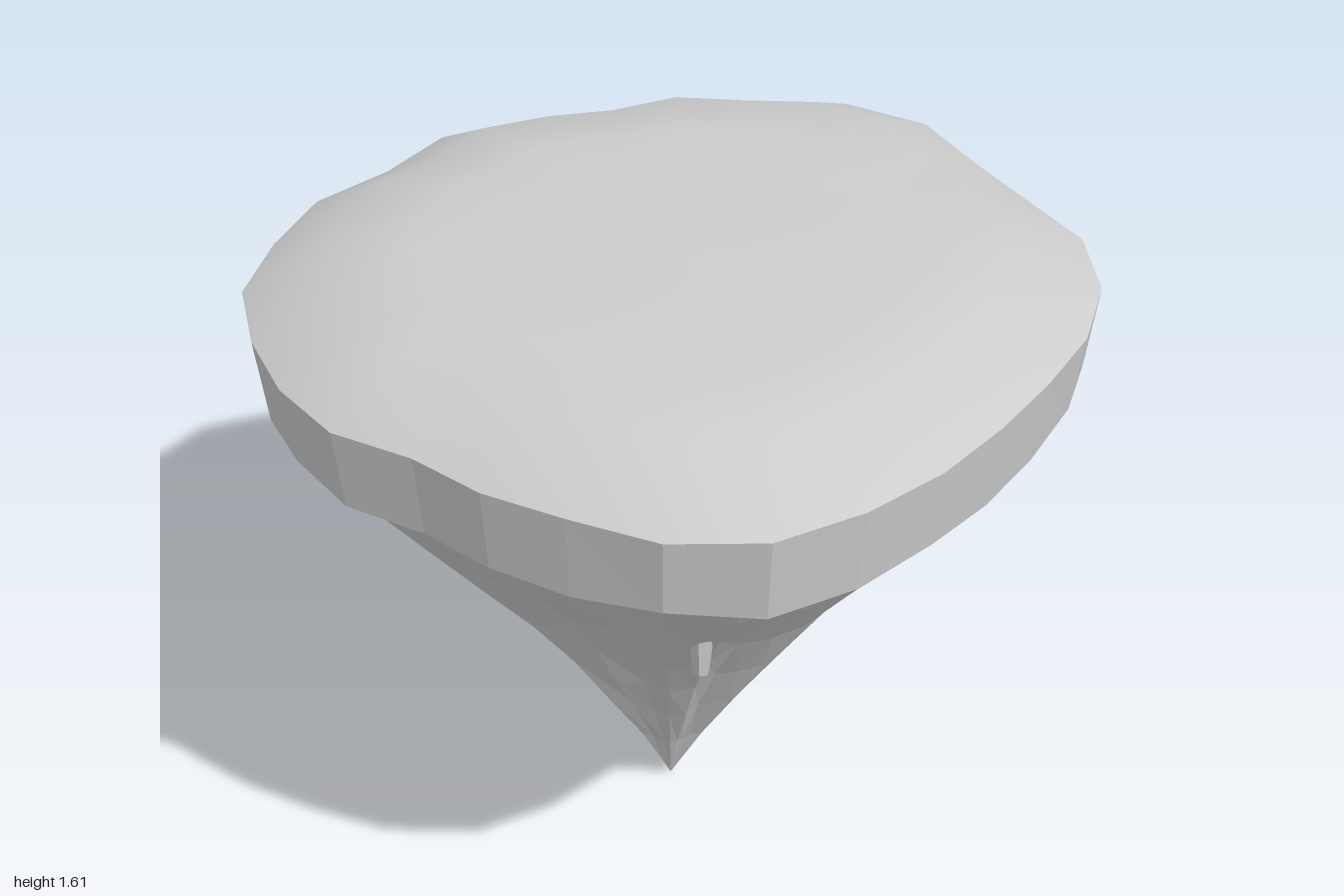
import * as THREE from 'three';

const SIDES = 28;
// Rim radius for each side, clockwise from the back as seen from above
const RIM = [
  0.96, 1.025, 1.037, 0.973, 0.972, 1.024, 1.025,
  0.995, 0.96, 0.955, 0.979, 1.012, 1.05, 1.026,
  0.956, 0.927, 0.899, 0.962, 0.983, 1.0, 1.025,
  1.0, 0.989, 0.93, 0.966, 0.925, 0.894, 0.959,
];
// Height of the edge band's lower border at each side
const LIP = [
  1.26, 1.26, 1.265, 1.275, 1.28, 1.26, 1.27,
  1.285, 1.265, 1.255, 1.26, 1.24, 1.235, 1.25,
  1.225, 1.235, 1.235, 1.24, 1.25, 1.235, 1.275,
  1.275, 1.26, 1.265, 1.255, 1.265, 1.26, 1.265,
];
// Ridges (above 1) and grooves (below 1) running down the rock
const RIDGES = [
  1.0, 0.97, 1.0, 0.96, 1.02, 0.98, 0.93,
  0.94, 1.05, 1.03, 0.97, 0.91, 0.95, 1.0,
  0.97, 1.02, 0.98, 1.03, 0.99, 0.96, 1.0,
  1.02, 0.97, 1.01, 0.96, 1.03, 1.0, 0.96,
];

// Seeded noise in -1..1
let seed = 7919;
function noise() {
  seed = (seed * 48271) % 2147483647;
  return (seed / 2147483647) * 2 - 1;
}

// Ring of points from a radius and a height function of the side number;
// tilt raises the back right
function ring(radius, height, tilt = 0) {
  return RIM.map((rim, k) => {
    const a = (k / SIDES) * Math.PI * 2;
    const r = rim * radius(k);
    const x = Math.sin(a) * r, z = -Math.cos(a) * r;
    return [x, height(k) + tilt * (0.5 * x - z), z];
  });
}

const evenRing = (r, y, tilt) => ring(() => r, () => y, tilt);

// Rock ring: ridges grow stronger toward the tip
const rockRing = (r, y) => ring(
  (k) => r * Math.pow(RIDGES[k], 2.2 - 1.4 * y) * (1 + 0.018 * noise()),
  () => y + 0.008 * noise(),
);

// Skin rings listed from the bottom up (or from the outside in)
function loft(rings, smooth) {
  const index = [];
  for (let j = 0; j < rings.length - 1; j++) {
    for (let k = 0; k < SIDES; k++) {
      const n = (k + 1) % SIDES;
      const a = j * SIDES + k, b = j * SIDES + n;
      const c = a + SIDES, d = b + SIDES;
      index.push(a, c, d, a, d, b);
    }
  }
  let geometry = new THREE.BufferGeometry();
  geometry.setAttribute('position', new THREE.Float32BufferAttribute(rings.flat(2), 3));
  geometry.setIndex(index);
  if (!smooth) geometry = geometry.toNonIndexed();
  geometry.computeVertexNormals();
  return geometry;
}

export function createModel() {
  const group = new THREE.Group();
  group.name = 'floatingIsland';
  const stone = new THREE.MeshStandardMaterial({ color: 0xcccccc });
  stone.name = 'pale grey stone';

  function add(name, geometry, x = 0, y = 0, z = 0) {
    const mesh = new THREE.Mesh(geometry, stone);
    mesh.name = name;
    mesh.position.set(x, y, z);
    group.add(mesh);
  }

  const rim = evenRing(1, 1.473, 0.021);
  const lip = ring(() => 0.97, (k) => LIP[k]);

  // Smooth, gently domed top
  add('topSurface', loft([
    rim,
    evenRing(0.8, 1.582, 0.016),
    evenRing(0.6, 1.598, 0.012),
    evenRing(0.4, 1.606, 0.01),
    evenRing(0.2, 1.609, 0.01),
    evenRing(0.001, 1.61),
  ], true));

  // Faceted band around the edge
  add('edgeBand', loft([lip, rim], false));

  // Faceted, fluted rock narrowing to a point
  const profile = [
    [0.088, 0.17], [0.192, 0.335], [0.302, 0.5], [0.42, 0.67],
    [0.56, 0.835], [0.71, 1.0], [0.86, 1.18],
  ];
  add('rockUnderside', loft([
    evenRing(0.001, 0),
    ...profile.map(([r, y]) => rockRing(r, y)),
    lip,
  ], false));

  // Small hanging stones: tapered pegs sunk into the rock
  for (const [x, y, z] of [[0.2, 0.745, 0.51], [-0.53, 0.72, -0.02]]) {
    const peg = new THREE.CylinderGeometry(0.034, 0.02, 0.13, 6).toNonIndexed();
    peg.computeVertexNormals();
    add('hangingStone', peg, x, y + 0.065, z);
  }

  return group;
}
